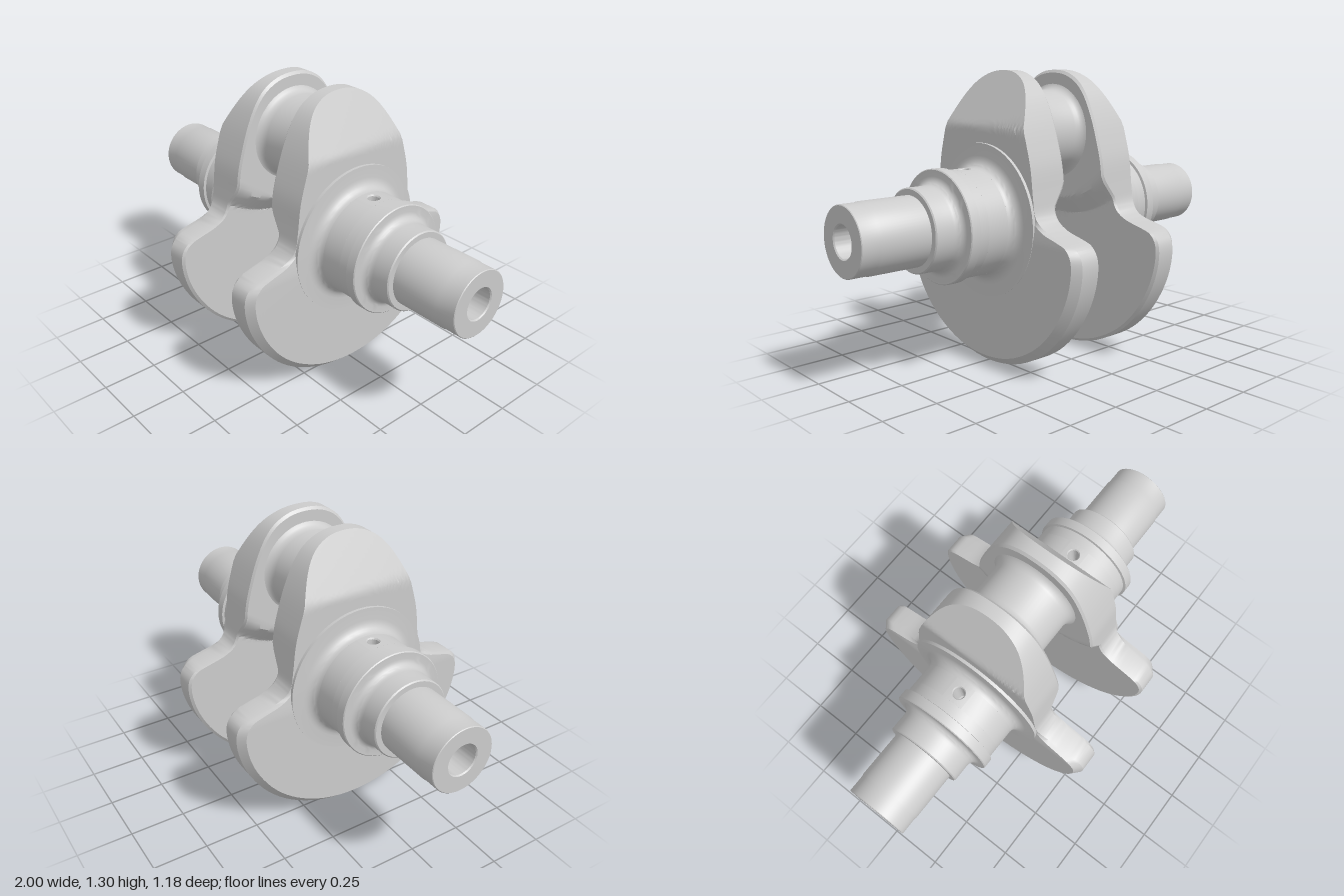
import * as THREE from 'three';
import { toCreasedNormals } from 'three/addons/utils/BufferGeometryUtils.js';

const AXIS = 0.65;    // height of the main shaft
const PIN = 1.02;     // height of the crank pin
const R = 0.235;      // journal radius
const HOLE_X = 0.41;  // oil hole position along the shaft
const PATCH = 0.05;   // half size of the journal patch around an oil hole

const material = new THREE.MeshStandardMaterial({ color: 0xcccccc });

function part(name, geometry) {
  const mesh = new THREE.Mesh(toCreasedNormals(geometry, 0.5), material);
  mesh.name = name;
  return mesh;
}

// Skin closed rows of Vector3, all of equal length
function loft(rows) {
  const n = rows[0].length;
  const index = [];
  for (let r = 0; r < rows.length - 1; r++) {
    for (let j = 0; j < n; j++) {
      const a = r * n + j, b = r * n + (j + 1) % n;
      index.push(a, b, a + n, b, b + n, a + n);
    }
  }
  const g = new THREE.BufferGeometry().setFromPoints(rows.flat());
  g.setIndex(index);
  return g;
}

// Turn a profile of [x, radius] about the x axis
function turned(profile, start = 0, length = Math.PI * 2, segments = 64) {
  const pts = profile.map(([x, r]) => new THREE.Vector2(r, x));
  return new THREE.LatheGeometry(pts, segments, start, length).rotateZ(-Math.PI / 2);
}

// Quarter-round fillet between two profile points; flat = starts along x
function fillet([x0, r0], [x1, r1], flat) {
  return Array.from({ length: 7 }, (_, i) => {
    const a = (i / 6) * Math.PI / 2, s = Math.sin(a), c = 1 - Math.cos(a);
    return [x0 + (x1 - x0) * (flat ? s : c), r0 + (r1 - r0) * (flat ? c : s)];
  });
}

// Web outline, half of it as [z, y] from top to bottom
const HALF = [
  [0, 1.3], [0.08, 1.29], [0.15, 1.255], [0.2, 1.2], [0.25, 1.1], [0.29, 0.98],
  [0.31, 0.9], [0.325, 0.78], [0.337, 0.71], [0.36, 0.675], [0.41, 0.645],
  [0.5, 0.62], [0.55, 0.603], [0.58, 0.57], [0.59, 0.52], [0.575, 0.42],
  [0.53, 0.31], [0.45, 0.195], [0.34, 0.1], [0.18, 0.025], [0, 0],
];

function webGeometry() {
  const mirrored = HALF.slice(1, -1).reverse().map(([z, y]) => [-z, y]);
  const curve = new THREE.CatmullRomCurve3(
    [...HALF, ...mirrored].map(([z, y]) => new THREE.Vector3(0, y, z)), true);
  const outline = curve.getPoints(160).slice(0, -1);
  const { clamp, lerp, smoothstep } = THREE.MathUtils;

  // Inner face: thick around the pin, sloping back to the counterweight
  const inner = (y, z, f) => {
    const t = clamp((Math.hypot(y - 1.2, z) - 0.49) / 0.08, 0, 1);
    return lerp(0.115, 0.18, t) + 0.01 * clamp((f - 0.98) / 0.02, 0, 1);
  };
  // Outer face: sloped towards the top, chamfered round the counterweight
  const outer = (y, z, f) => {
    const slope = 0.12 * clamp((y - 1.06) / 0.24, 0, 1);
    const low = 1 - smoothstep(y, 0.58, 0.72);
    return 0.303 + 0.012 * low - slope - 0.035 * low * clamp((f - 0.95) / 0.05, 0, 1);
  };
  const steps = Array.from({ length: 33 }, (_, i) => 0.95 * i / 32).concat(0.98, 1);
  const ring = (f, face) => outline.map((p) => {
    const y = AXIS + (p.y - AXIS) * f, z = p.z * f;
    return new THREE.Vector3(face(y, z, f), y, z);
  });
  return loft([
    ...steps.map((f) => ring(f, inner)),
    ...[...steps].reverse().map((f) => ring(f, outer)),
  ]);
}

// Square piece of the journal surface with a round oil hole in it
function oilHoleGeometry() {
  const n = 48, hole = 0.026;
  const row = (size, mix, radius) => Array.from({ length: n }, (_, j) => {
    const t = (j / n) * Math.PI * 2, c = Math.cos(t), s = Math.sin(t);
    const square = PATCH / Math.max(Math.abs(c), Math.abs(s));
    const d = size + (square - size) * mix;
    const a = (s * d) / R;
    return new THREE.Vector3(HOLE_X + c * d, radius * Math.cos(a), radius * Math.sin(a));
  });
  return loft([
    row(0, 0, R - 0.12), row(hole, 0, R - 0.12), row(hole, 0, R - 0.006),
    row(hole + 0.004, 0, R), row(hole + 0.004, 0.5, R), row(hole + 0.004, 1, R),
  ]);
}

// One half of the crankshaft, on the +x side
function createHalf(name) {
  const half = new THREE.Group();
  half.name = name;
  half.add(part('crankWeb', webGeometry()));

  const shaft = new THREE.Group();
  shaft.name = 'mainShaft';
  shaft.position.y = AXIS;
  half.add(shaft);

  // Boss on the web with a fillet down to the journal
  shaft.add(part('journalBoss', turned([
    [0.28, 0.34], [0.317, 0.34], ...fillet([0.318, 0.285], [HOLE_X - PATCH, R], false).map(
      (p, i, all) => {
        // concave curve: leaves the face square and meets the journal flat
        const a = (i / (all.length - 1)) * Math.PI / 2;
        return [0.318 + 0.042 * (1 - Math.cos(a)), 0.285 - 0.05 * Math.sin(a)];
      }),
  ])));

  // Journal barrel in two arcs, leaving room for the oil holes
  const gap = PATCH / R;
  for (const start of [Math.PI / 2, Math.PI * 1.5]) {
    shaft.add(part('journal', turned(
      [[HOLE_X - PATCH, R], [HOLE_X + PATCH, R]], start + gap, Math.PI - 2 * gap, 28)));
  }
  for (const turn of [0, Math.PI]) {
    const hole = part('oilHole', oilHoleGeometry());
    hole.rotation.x = turn;
    shaft.add(hole);
  }

  // Collar, step and hollow shaft end
  shaft.add(part('shaftEnd', turned([
    [HOLE_X + PATCH, R], [0.51, R], [0.513, 0.247], [0.556, 0.247], [0.56, 0.243],
    ...fillet([0.56, 0.215], [0.6, 0.18], false),
    [0.68, 0.18], [0.685, 0.175], [0.685, 0.15], [0.91, 0.15], [0.92, 0.147],
    [0.997, 0.147], [1, 0.144], [1, 0.073], [0.995, 0.068], [0.75, 0.068], [0.71, 0],
  ])));
  return half;
}

export function createModel() {
  const model = new THREE.Group();
  model.name = 'crankshaft';

  const left = createHalf('leftHalf');
  const right = createHalf('rightHalf');
  right.rotation.y = Math.PI;
  model.add(left, right);

  // Crank pin with fillets into both webs
  const end = fillet([0.07, 0.19], [0.12, 0.235], true);
  const pin = part('crankPin', turned([
    ...[...end].reverse().map(([x, r]) => [-x, r]), ...end,
  ]));
  pin.position.y = PIN;
  model.add(pin);
  return model;
}
